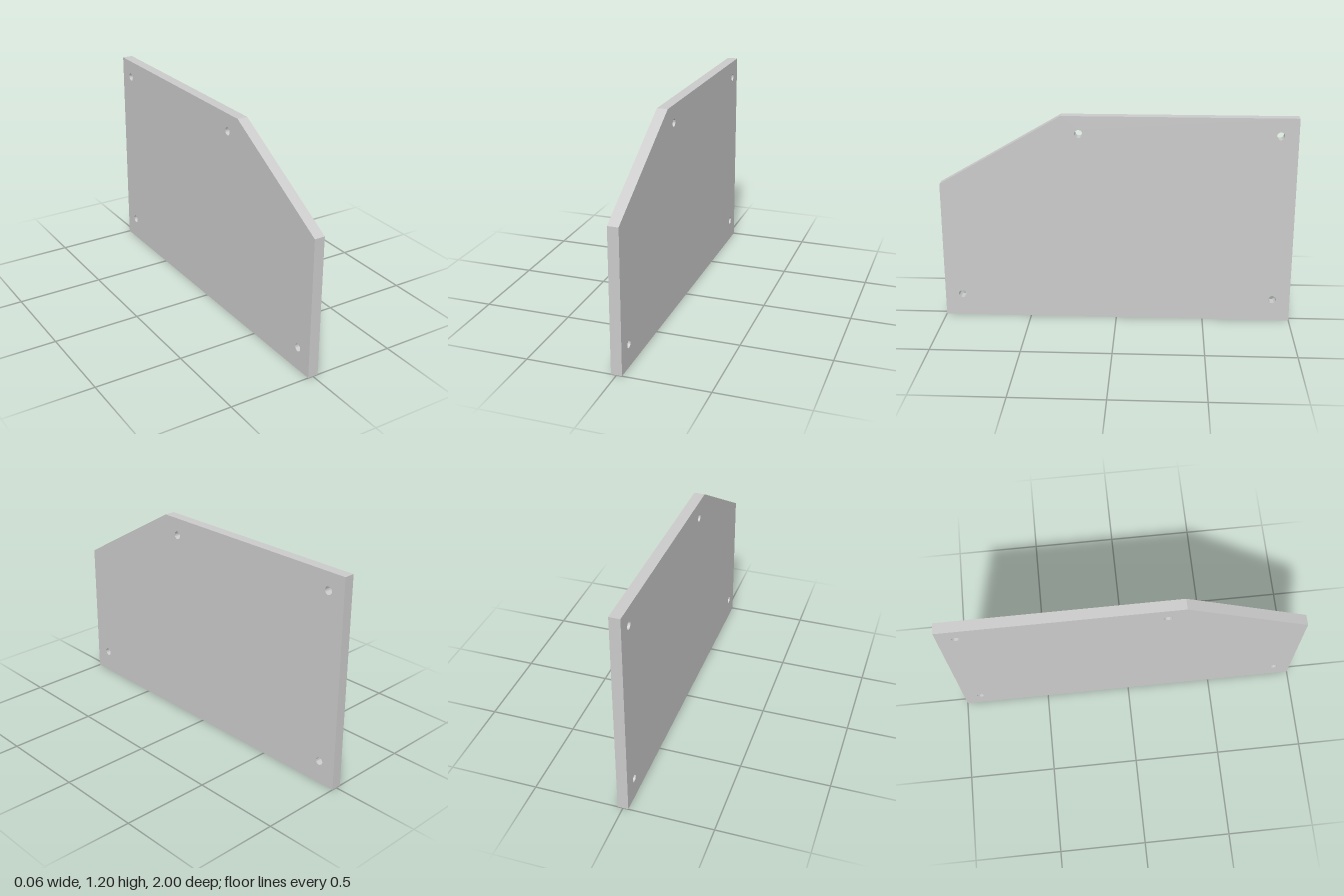
import * as THREE from 'three';
import { toCreasedNormals } from 'three/addons/utils/BufferGeometryUtils.js';

const THICKNESS = 0.06;
const HOLE_RADIUS = 0.022;

export function createModel() {
  const group = new THREE.Group();
  group.name = 'mountingPlate';

  // Side outline with a sloped front corner; shape x runs towards the back (-z)
  const outline = new THREE.Shape([
    [-1, 0], [1, 0], [1, 1.2], [-0.307, 1.2], [-1, 0.8],
  ].map(([x, y]) => new THREE.Vector2(x, y)));

  // Four screw holes through the plate
  for (const [x, y] of [[-0.9, 0.13], [0.9, 0.13], [0.9, 1.1], [-0.21, 1.1]]) {
    const hole = new THREE.Path();
    hole.absarc(x, y, HOLE_RADIUS, 0, Math.PI * 2, true);
    outline.holes.push(hole);
  }

  const geometry = new THREE.ExtrudeGeometry(outline, {
    depth: THICKNESS, bevelEnabled: false, curveSegments: 32,
  });
  geometry.translate(0, 0, -THICKNESS / 2);
  geometry.rotateY(Math.PI / 2);

  // Smooth hole walls, sharp plate edges
  const plate = new THREE.Mesh(
    toCreasedNormals(geometry, Math.PI / 7),
    new THREE.MeshStandardMaterial({ color: 0xcccccc }),
  );
  plate.name = 'plate';
  group.add(plate);
  return group;
}
